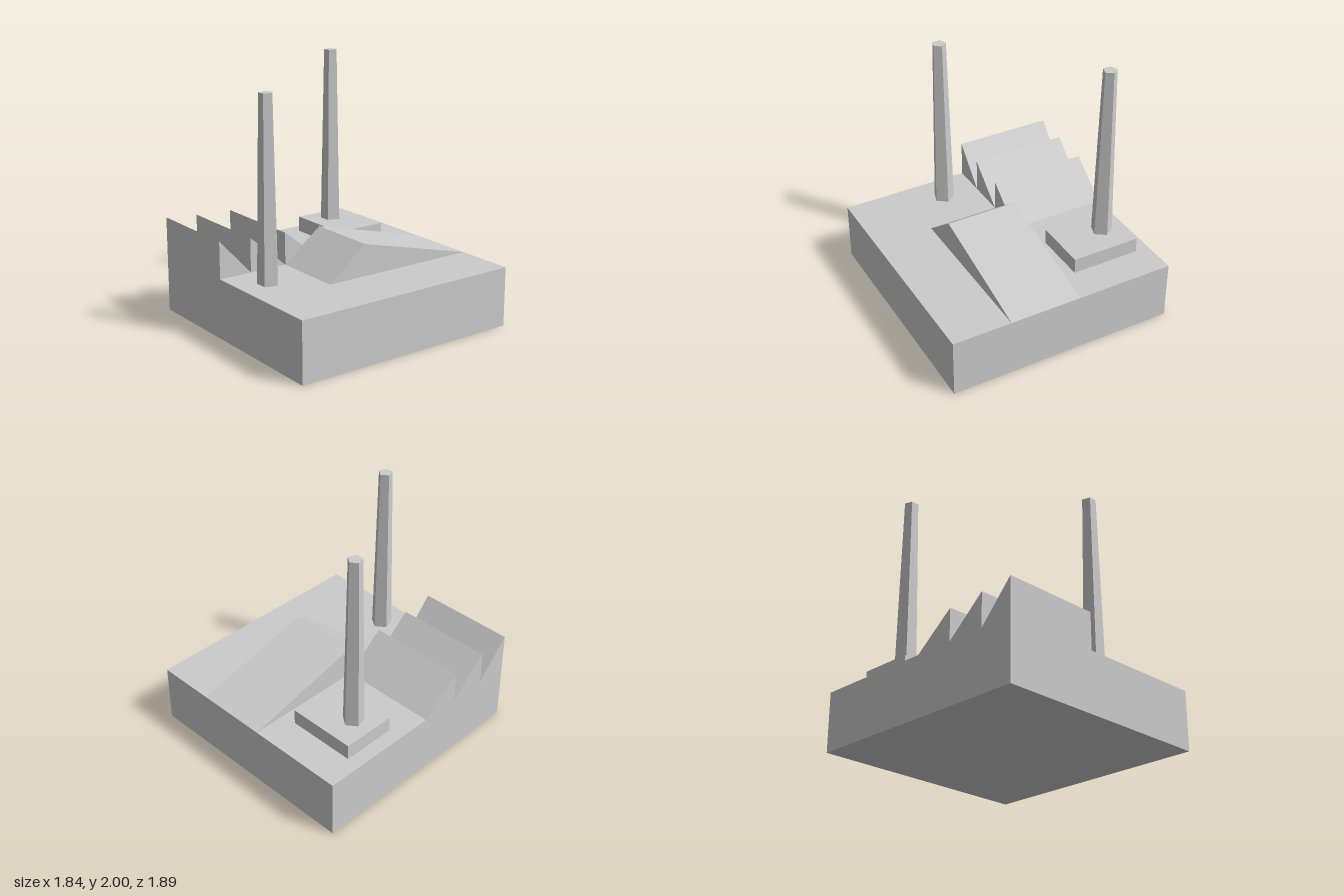
import * as THREE from 'three';

const DECK = 0.472; // top of the base slab

export function createModel() {
  const group = new THREE.Group();
  const material = new THREE.MeshStandardMaterial({ color: 0xcccccc, flatShading: true });

  const add = (name, geometry, x = 0, y = 0, z = 0) => {
    const mesh = new THREE.Mesh(geometry, material);
    mesh.name = name;
    mesh.position.set(x, y, z);
    group.add(mesh);
  };

  // Box given by its limits on each axis
  const block = (name, x0, x1, y0, y1, z0, z1) =>
    add(name, new THREE.BoxGeometry(x1 - x0, y1 - y0, z1 - z0),
      (x0 + x1) / 2, (y0 + y1) / 2, (z0 + z1) / 2);

  // Triangular roof: ridge at (zRidge, yRidge), eaves at zFront and zBack, running along x
  const roof = (name, x0, x1, zFront, zBack, zRidge, yRidge) => {
    const shape = new THREE.Shape([
      new THREE.Vector2(-zFront, DECK),
      new THREE.Vector2(-zBack, DECK),
      new THREE.Vector2(-zRidge, yRidge),
    ]);
    const geometry = new THREE.ExtrudeGeometry(shape, { depth: x1 - x0, bevelEnabled: false });
    add(name, geometry.rotateY(Math.PI / 2), x0);
  };

  // Tapered five-sided chimney with one corner towards the back
  const chimney = (name, x, z, y0, y1) => {
    const geometry = new THREE.CylinderGeometry(0.055, 0.084, y1 - y0, 5);
    add(name, geometry.rotateY(Math.PI), x, (y0 + y1) / 2, z);
  };

  block('base', -0.92, 0.92, 0, DECK, -0.945, 0.945);

  // Sawtooth roofs, each with an upright front and a slope falling to the back
  const teeth = [[0.945, 0.675, 0.765], [0.675, 0.363, 0.742], [0.363, 0.042, 0.727]];
  teeth.forEach(([front, back, top], i) =>
    roof(`sawtoothRoof${i + 1}`, -0.92, -0.13, front, back, front, top));

  // Wide gable with a steep front and a long back slope
  roof('gableRoof', -0.13, 0.448, 0.363, -0.945, 0.042, 0.722);

  // Chimneys, the rear one on a plinth
  block('chimneyPlinth', -0.805, -0.25, DECK, 0.595, -0.672, -0.237);
  chimney('rearChimney', -0.63, -0.441, 0.595, 2);
  chimney('frontChimney', 0.162, 0.71, DECK, 1.885);

  return group;
}
